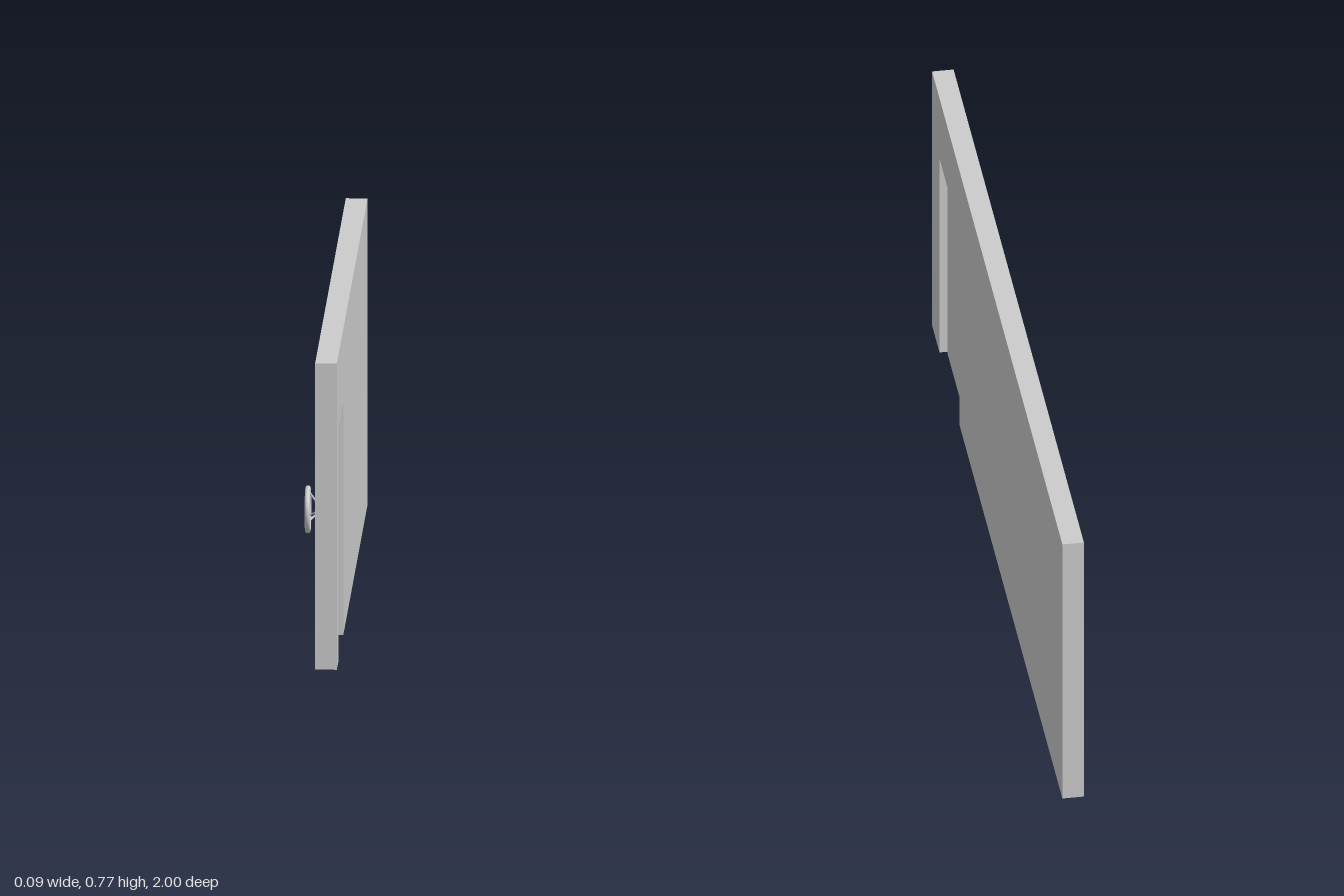
import * as THREE from 'three';

const mat = new THREE.MeshStandardMaterial({ color: 0xcccccc });

function add(parent, name, geometry, x = 0, y = 0, z = 0) {
  const mesh = new THREE.Mesh(geometry, mat);
  mesh.name = name;
  mesh.position.set(x, y, z);
  parent.add(mesh);
  return mesh;
}

export function createModel() {
  const group = new THREE.Group();
  group.name = 'wallWithHatchDoor';

  // Wall: long slab with a doorway notched out of its lower edge
  const z0 = 0.578, z1 = 0.886, bottom = 0.007, top = 0.768, doorTop = 0.588;
  const outline = new THREE.Shape([
    [-1, bottom], [z0, bottom], [z0, doorTop], [z1, doorTop],
    [z1, bottom], [1, bottom], [1, top], [-1, top],
  ].map(([z, y]) => new THREE.Vector2(z, y)));
  const wallGeo = new THREE.ExtrudeGeometry(outline, { depth: 0.053, bevelEnabled: false });
  wallGeo.rotateY(-Math.PI / 2);
  add(group, 'wall', wallGeo, 0.043);

  // Door: thin panel recessed in the doorway, reaching the ground
  add(group, 'door', new THREE.BoxGeometry(0.023, doorTop, z1 - z0),
    0.0115, doorTop / 2, (z0 + z1) / 2);

  // Handwheel on the door: rim, hub and three slanted spokes
  const wheel = new THREE.Group();
  wheel.name = 'handwheel';
  wheel.position.set(0, 0.35, 0.732);
  group.add(wheel);

  add(wheel, 'wheelRim', new THREE.TorusGeometry(0.052, 0.0065, 16, 48).rotateY(Math.PI / 2), -0.0375);
  add(wheel, 'wheelHub', new THREE.CylinderGeometry(0.011, 0.011, 0.012, 24).rotateZ(Math.PI / 2), -0.006);

  for (let i = 0; i < 3; i++) {
    const a = (i * Math.PI * 2) / 3;
    const at = (x, r) => new THREE.Vector3(x, r * Math.cos(a), r * Math.sin(a));
    const path = new THREE.LineCurve3(at(-0.008, 0.006), at(-0.036, 0.046));
    add(wheel, 'wheelSpoke', new THREE.TubeGeometry(path, 1, 0.0025, 10));
  }

  return group;
}
